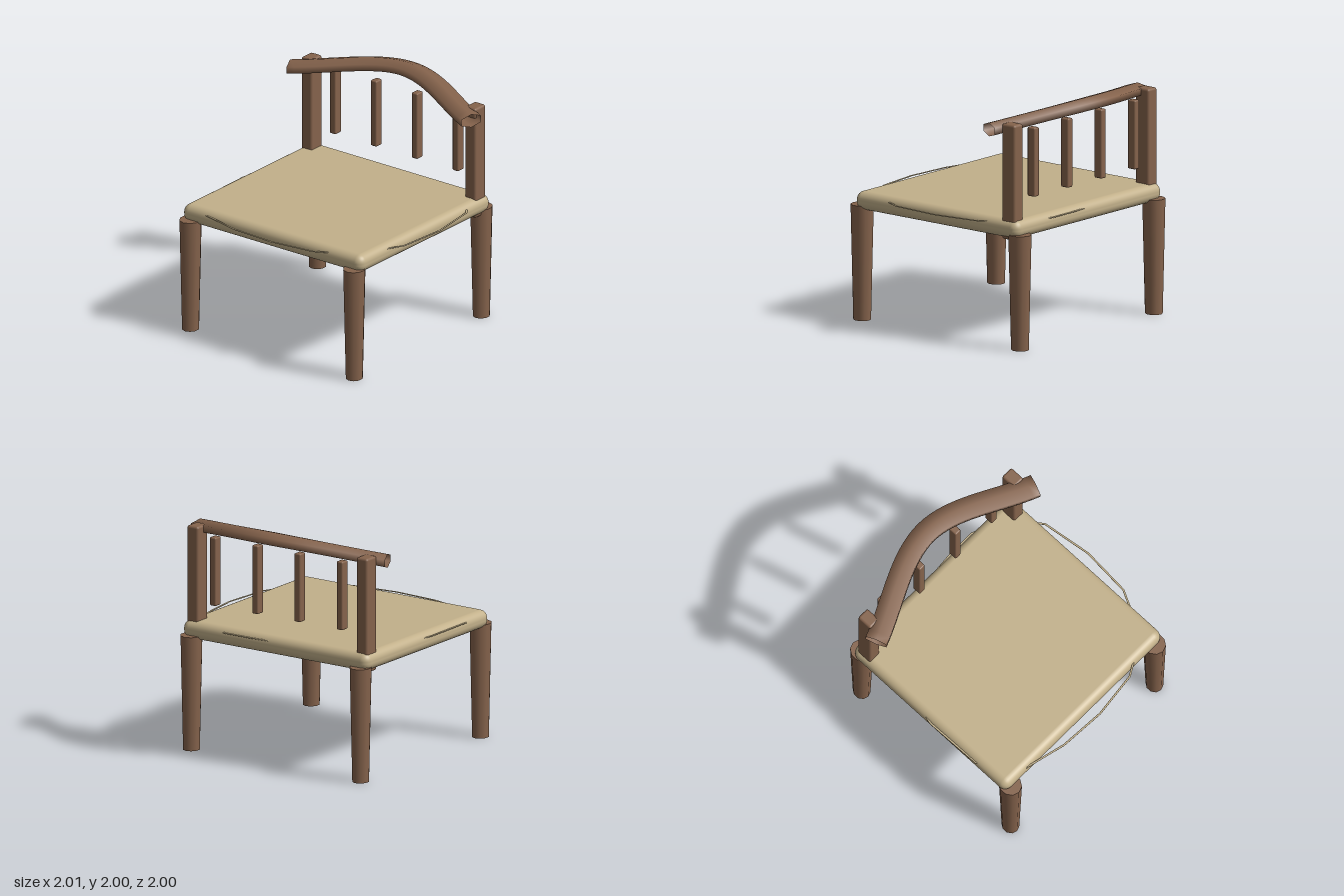
import * as THREE from 'three';
import { RoundedBoxGeometry } from 'three/addons/geometries/RoundedBoxGeometry.js';

const wood = new THREE.MeshStandardMaterial({ color: 0x85634c });
const openWood = new THREE.MeshStandardMaterial({ color: 0x85634c, side: THREE.DoubleSide });
const fabric = new THREE.MeshStandardMaterial({ color: 0xc2b08a });

const CX = -0.032; // middle of the chair across its width

// Sweep an upright, flattened hexagon along a path
function sweepHexagon(path, halfWidth, halfHeight, closed) {
  const n = path.length, sides = 6, pos = [], index = [];
  const up = new THREE.Vector3(0, 1, 0);
  path.forEach((p, i) => {
    const before = closed ? path[(i + n - 1) % n] : path[Math.max(i - 1, 0)];
    const after = closed ? path[(i + 1) % n] : path[Math.min(i + 1, n - 1)];
    const side = after.clone().sub(before).cross(up).normalize();
    for (let j = 0; j < sides; j++) {
      const a = Math.PI / 6 + (j / sides) * Math.PI * 2;
      const v = p.clone().addScaledVector(side, Math.cos(a) * halfWidth / Math.cos(Math.PI / 6));
      pos.push(v.x, v.y + Math.sin(a) * halfHeight, v.z);
    }
  });
  for (let i = 0; i < (closed ? n : n - 1); i++) {
    for (let j = 0; j < sides; j++) {
      const k = (j + 1) % sides, r0 = i * sides, r1 = ((i + 1) % n) * sides;
      index.push(r0 + j, r1 + j, r0 + k, r1 + j, r1 + k, r0 + k);
    }
  }
  const geo = new THREE.BufferGeometry();
  geo.setAttribute('position', new THREE.Float32BufferAttribute(pos, 3));
  geo.setIndex(index);
  geo.computeVertexNormals();
  return geo;
}

export function createModel() {
  const chair = new THREE.Group();
  chair.name = 'chair';

  const add = (name, geo, mat, x = 0, y = 0, z = 0) => {
    const mesh = new THREE.Mesh(geo, mat);
    mesh.name = name;
    mesh.position.set(x, y, z);
    chair.add(mesh);
    return mesh;
  };

  // Cushioned seat
  add('seat', new RoundedBoxGeometry(1.87, 0.155, 1.745, 4, 0.07), fabric, CX, 1.0125, 0.0175);

  // Tapered legs, slightly oval
  const legGeo = new THREE.CylinderGeometry(0.098, 0.075, 0.97, 10);
  legGeo.scale(0.93, 1, 1);
  // Posts that pass through the seat
  const postGeo = new RoundedBoxGeometry(0.113, 0.97, 0.142, 2, 0.02);
  for (const s of [-1, 1]) {
    const side = s > 0 ? 'left' : 'right';
    add(side + 'FrontLeg', legGeo, wood, CX + s * 0.851, 0.485, 0.867);
    add(side + 'BackLeg', legGeo, wood, CX + s * 0.851, 0.485, -0.822);
    add(side + 'BackPost', postGeo, wood, CX + s * 0.851, 1.405, -0.741);
  }

  // Back spindles
  const spindleGeo = new RoundedBoxGeometry(0.062, 0.58, 0.08, 2, 0.012);
  for (let i = 0; i < 4; i++) {
    add('spindle' + (i + 1), spindleGeo, wood, CX + (i - 1.5) * 0.425, 1.54, -0.785);
  }

  // Bowed top rail with open ends
  const railCurve = new THREE.CatmullRomCurve3([
    new THREE.Vector3(CX - 0.943, 1.83, -0.57),
    new THREE.Vector3(CX, 1.945, -0.907),
    new THREE.Vector3(CX + 0.943, 1.83, -0.57),
  ]);
  add('topRail', sweepHexagon(railCurve.getPoints(32), 0.0925, 0.057, false), openWood);

  // Loose cord round the seat, hidden inside the cushion at the corners
  const cord = [
    [0.99, -0.05], [0.96, 0.38], [0.77, 0.76], [0.45, 0.94], [0.05, 0.988], [-0.35, 0.965],
    [-0.74, 0.87], [-0.962, 0.55], [-0.972, 0.05], [-0.87, -0.38], [-0.6, -0.7], [-0.2, -0.82],
    [0.2, -0.856], [0.45, -0.857], [0.72, -0.75], [0.93, -0.48],
  ].map(([x, z]) => new THREE.Vector3(x, 1.05, z)).reverse();
  add('cord', sweepHexagon(cord, 0.008, 0.005, true), fabric);

  return chair;
}
